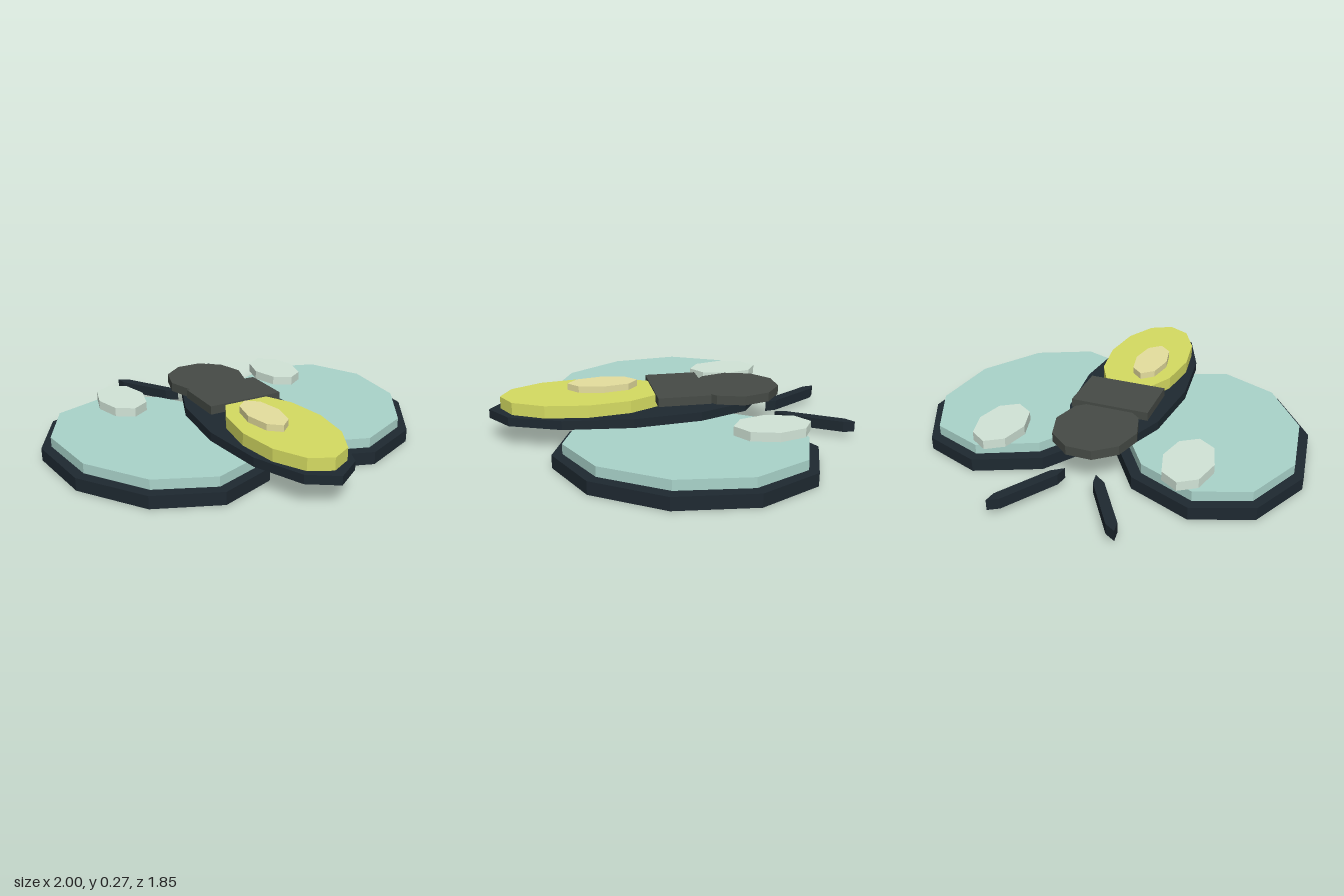
import * as THREE from 'three';

const material = (name, color) => {
  const m = new THREE.MeshStandardMaterial({ color, side: THREE.DoubleSide });
  m.name = name;
  return m;
};

// Flat shell standing between two heights, open below, from an outline of [x, z] points
function shell(name, points, y0, y1, mat) {
  const shape = new THREE.Shape(points.map(([x, z]) => new THREE.Vector2(x, -z)));
  const geo = new THREE.ExtrudeGeometry(shape, { depth: y1 - y0, bevelEnabled: false });
  geo.rotateX(-Math.PI / 2).translate(0, y0, 0);
  // The lower cap comes first in the buffers: drop it
  const skip = (points.length - 2) * 3;
  for (const [key, { array, itemSize }] of Object.entries(geo.attributes)) {
    geo.setAttribute(key, new THREE.BufferAttribute(array.slice(skip * itemSize), itemSize));
  }
  geo.clearGroups();
  const mesh = new THREE.Mesh(geo, mat);
  mesh.name = name;
  return mesh;
}

// Outline of an n-sided ellipse with a corner on its own x axis, turned by an angle
function oval(cx, cz, rx, rz, n, turn = 0) {
  const c = Math.cos(turn), s = Math.sin(turn);
  return Array.from({ length: n }, (_, i) => {
    const a = (i / n) * Math.PI * 2;
    const x = rx * Math.cos(a), z = rz * Math.sin(a);
    return [cx + x * c - z * s, cz + x * s + z * c];
  });
}

export function createModel() {
  const model = new THREE.Group();
  model.name = 'flyingInsect';

  const dark = material('dark slate', 0x1e2931);
  const teal = material('wing teal', 0xaad4cb);
  const pale = material('pale highlight', 0xd2e5d8);
  const yellow = material('abdomen yellow', 0xd6dc62);
  const sand = material('sand highlight', 0xe6df9e);
  const grey = material('head grey', 0x464b46);

  const tilt = 0.35;
  const rim = oval(0.485, 0, 0.505, 0.652, 10, tilt);
  const panel = oval(0.488, 0, 0.451, 0.601, 10, tilt);
  const spot = oval(0.488, -0.421, 0.125, 0.194, 8);
  const antenna = [[0.31, -0.925], [0.257, -0.893], [0.09, -0.63], [0.08, -0.567], [0.14, -0.61], [0.302, -0.866]];

  // Wings and antennae, mirrored left and right
  for (const [side, s] of [['left', 1], ['right', -1]]) {
    const flip = (pts) => pts.map(([x, z]) => [x * s, z]);
    const wing = new THREE.Group();
    wing.name = side + 'Wing';
    wing.add(
      shell('wingRim', flip(rim), 0, 0.066, dark),
      shell('wingPanel', flip(panel), 0.07, 0.121, teal),
      shell('wingSpot', flip(spot), 0.129, 0.176, pale)
    );
    model.add(wing, shell(side + 'Antenna', flip(antenna), 0.03, 0.085, dark));
  }

  // Body, stacked from the bottom up
  model.add(
    shell('bodyBase', oval(0, 0.222, 0.281, 0.703, 12), 0.121, 0.167, dark),
    shell('abdomen', oval(0, 0.438, 0.222, 0.429, 12), 0.168, 0.232, yellow),
    shell('abdomenSpot', oval(-0.048, 0.339, 0.087, 0.183, 8), 0.232, 0.266, sand),
    shell('head', oval(0, -0.362, 0.212, 0.234, 10), 0.177, 0.225, grey),
    shell('thorax', [[-0.205, -0.187], [0.205, -0.187], [0.205, 0.087], [-0.205, 0.087]], 0.195, 0.24, grey)
  );
  return model;
}
